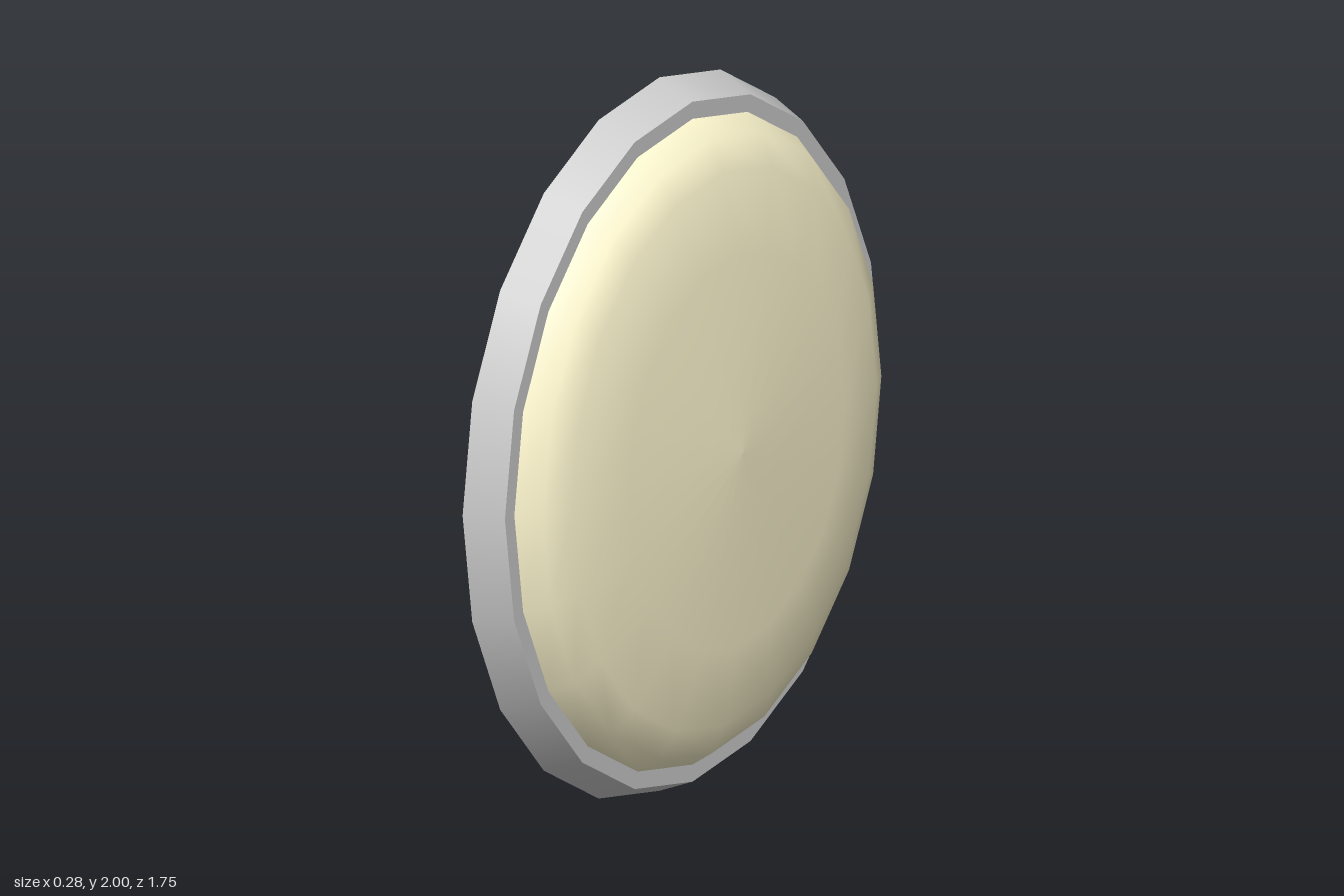
import * as THREE from 'three';

const SIDES = 20;
const DEPTH_RATIO = 0.875; // the oval is narrower in z than in y

// Revolves [x, radius] points around the x axis and squeezes the result to an oval.
function ovalShell(name, profile, material) {
  const points = profile.map(([x, r]) => new THREE.Vector2(r, x));
  const geometry = new THREE.LatheGeometry(points, SIDES);
  geometry.rotateZ(-Math.PI / 2);
  geometry.scale(1, 1, DEPTH_RATIO);
  const mesh = new THREE.Mesh(geometry, material);
  mesh.name = name;
  return mesh;
}

export function createModel() {
  const frameMaterial = new THREE.MeshStandardMaterial({ color: 0xcccccc, side: THREE.DoubleSide });
  const lensMaterial = new THREE.MeshStandardMaterial({ color: 0xfff8d0, side: THREE.DoubleSide });

  // Tapered rim, open at the back, with a flat lip around the lens
  const frame = new THREE.Group();
  frame.name = 'frame';
  frame.add(
    ovalShell('rimWall', [[-0.14, 1], [-0.03, 0.953]], frameMaterial),
    ovalShell('frontLip', [[-0.03, 0.953], [-0.03, 0.905]], frameMaterial)
  );

  // Shallow domed lens
  const lens = ovalShell('lens', [
    [-0.03, 0.905], [0.035, 0.86], [0.075, 0.775], [0.115, 0.548], [0.137, 0]
  ], lensMaterial);

  const model = new THREE.Group();
  model.name = 'ovalLamp';
  model.add(frame, lens);
  model.position.y = 1;

  const root = new THREE.Group();
  root.add(model);
  return root;
}
